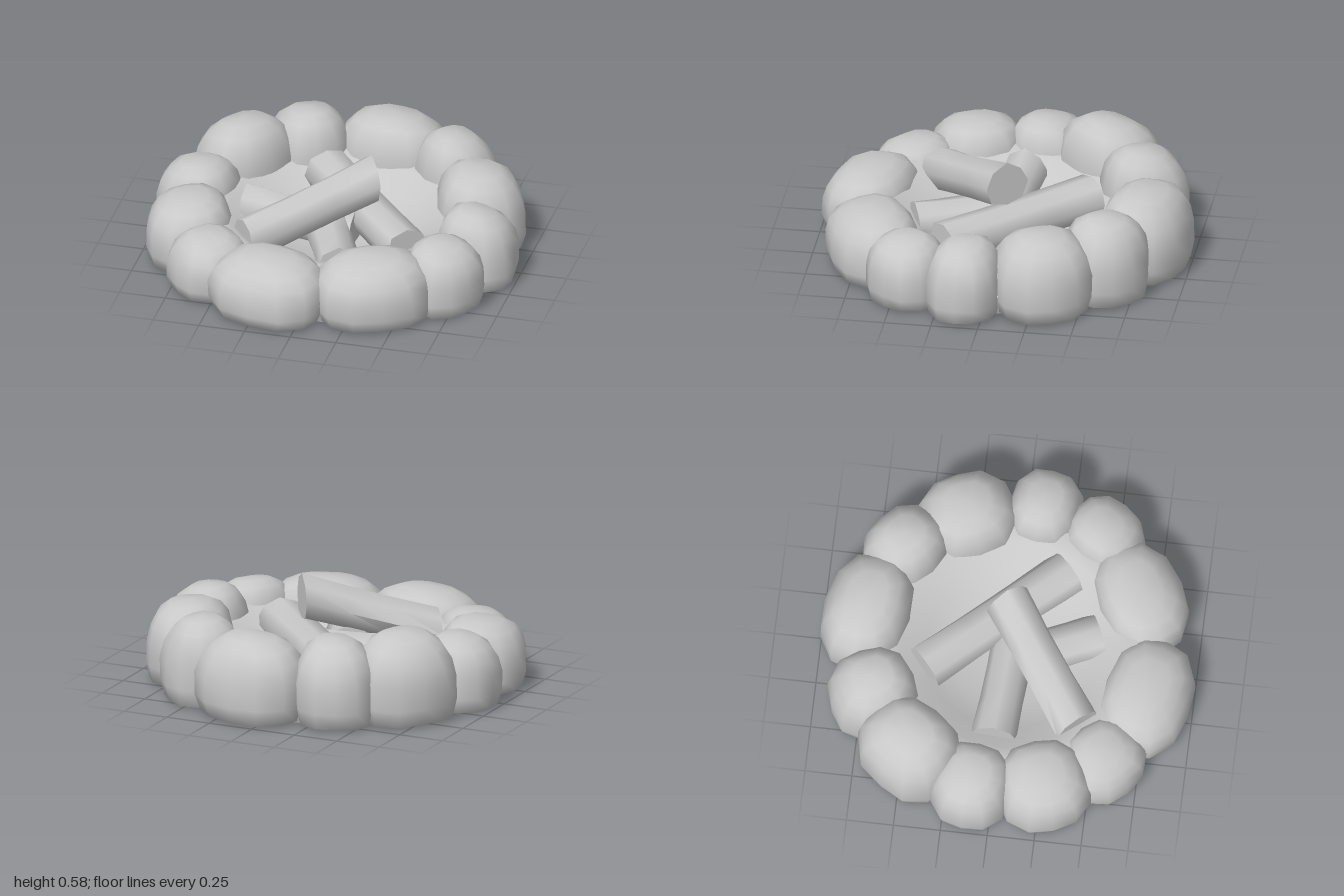
import * as THREE from 'three';
import { mergeVertices, toCreasedNormals } from 'three/addons/utils/BufferGeometryUtils.js';

const grey = new THREE.MeshStandardMaterial({ color: 0xc8c8c8 });
grey.name = 'stoneGrey';

// Weld a geometry and give it smooth normals
function smooth(geo) {
  geo.deleteAttribute('uv');
  geo.deleteAttribute('normal');
  const welded = mergeVertices(geo, 1e-4);
  welded.computeVertexNormals();
  return welded;
}

// Blocky boulder with a flat base: w along the ring, d across it, h tall, lower on its outer side
function stoneGeometry(w, d, h, seed) {
  const geo = new THREE.SphereGeometry(1, 12, 9);
  const p = geo.attributes.position;
  const v = new THREE.Vector3();
  const puff = (t, e) => Math.sign(t) * Math.pow(Math.abs(t), e);
  for (let i = 0; i < p.count; i++) {
    v.fromBufferAttribute(p, i);
    const bump = 1 + 0.03 * Math.sin(3.1 * v.x + 2.3 * v.y + seed * 1.7)
      * Math.cos(2.7 * v.z - 1.9 * v.y + seed * 2.9);
    const flat = Math.hypot(v.x, v.z);
    const a = Math.max(Math.abs(v.x), Math.abs(v.z));
    const k = flat > 1e-5 ? bump * Math.pow(flat, -0.28) * Math.pow(flat / a, 0.45) : 0;
    const y = h * (0.38 + 0.62 * puff(v.y, 0.82) * bump) * (1 - 0.08 * v.z);
    p.setXYZ(i, v.x * k * w / 2, Math.max(0.01, y), v.z * k * d / 2);
  }
  return smooth(geo);
}

// Rough-hewn log between two points, with upright ends slightly flared
function logMesh(name, from, to, radius, seed) {
  const a = new THREE.Vector3(...from), b = new THREE.Vector3(...to);
  const length = Math.hypot(b.x - a.x, b.z - a.z);
  const geo = new THREE.CylinderGeometry(radius, radius, length, 8, 3).rotateX(Math.PI / 2);
  const p = geo.attributes.position;
  for (let i = 0; i < p.count; i++) {
    const x = p.getX(i), y = p.getY(i), z = p.getZ(i);
    const ang = Math.atan2(y, x), t = 2 * z / length;
    const k = 0.95 + 0.07 * t * t + 0.07 * Math.sin(3 * ang + seed + t * 0.8);
    p.setXYZ(i, x * k, y * k + t * (b.y - a.y) / 2, z);
  }
  const mesh = new THREE.Mesh(toCreasedNormals(smooth(geo), 1.1), grey);
  mesh.name = name;
  mesh.position.copy(a).add(b).multiplyScalar(0.5);
  mesh.rotation.y = Math.atan2(b.x - a.x, b.z - a.z);
  return mesh;
}

export function createModel() {
  const model = new THREE.Group();
  model.name = 'campfire';

  // Ring of stones: x, z, width, depth, height
  const ring = new THREE.Group();
  ring.name = 'stoneRing';
  const stones = [
    [0.11, -0.77, 0.62, 0.46, 0.45], [-0.34, -0.69, 0.43, 0.46, 0.46],
    [-0.635, -0.46, 0.56, 0.47, 0.47], [-0.79, -0.11, 0.43, 0.43, 0.39],
    [-0.745, 0.27, 0.49, 0.46, 0.38], [-0.56, 0.57, 0.44, 0.41, 0.32],
    [-0.185, 0.755, 0.65, 0.47, 0.34], [0.36, 0.66, 0.62, 0.46, 0.36],
    [0.69, 0.43, 0.42, 0.39, 0.37], [0.79, 0.10, 0.39, 0.43, 0.41],
    [0.70, -0.30, 0.53, 0.47, 0.44], [0.485, -0.61, 0.45, 0.41, 0.46],
  ];
  stones.forEach(([x, z, w, d, h], i) => {
    const stone = new THREE.Mesh(stoneGeometry(w, d, h, i + 1), grey);
    stone.name = 'stone' + (i + 1);
    stone.position.set(x, 0, z);
    stone.rotation.y = Math.atan2(x, z);
    ring.add(stone);
  });
  model.add(ring);

  // Hearth bed: flat underneath, bowl rising to the stones on top
  const bedProfile = [[0, 0], [0.81, 0], [0.86, 0.12], [0.8, 0.23], [0.68, 0.27],
    [0.58, 0.24], [0.45, 0.16], [0.3, 0.1], [0, 0.07]]
    .map(([r, y]) => new THREE.Vector2(r, y));
  const bed = new THREE.Mesh(
    toCreasedNormals(smooth(new THREE.LatheGeometry(bedProfile, 24)), 0.7), grey);
  bed.name = 'hearthBed';
  model.add(bed);

  // Stacked logs
  const logs = new THREE.Group();
  logs.name = 'logs';
  logs.add(
    logMesh('longLog', [-0.18, 0.23, -0.43], [0.45, 0.20, 0.27], 0.124, 0.5),
    logMesh('topLog', [-0.41, 0.22, 0.42], [0.175, 0.445, -0.03], 0.122, 2),
    logMesh('leftLog', [-0.51, 0.19, -0.02], [0.1, 0.14, 0.02], 0.12, 3.4),
    logMesh('frontLog', [0.13, 0.15, 0.47], [-0.04, 0.16, 0.08], 0.122, 5),
  );
  model.add(logs);
  return model;
}
